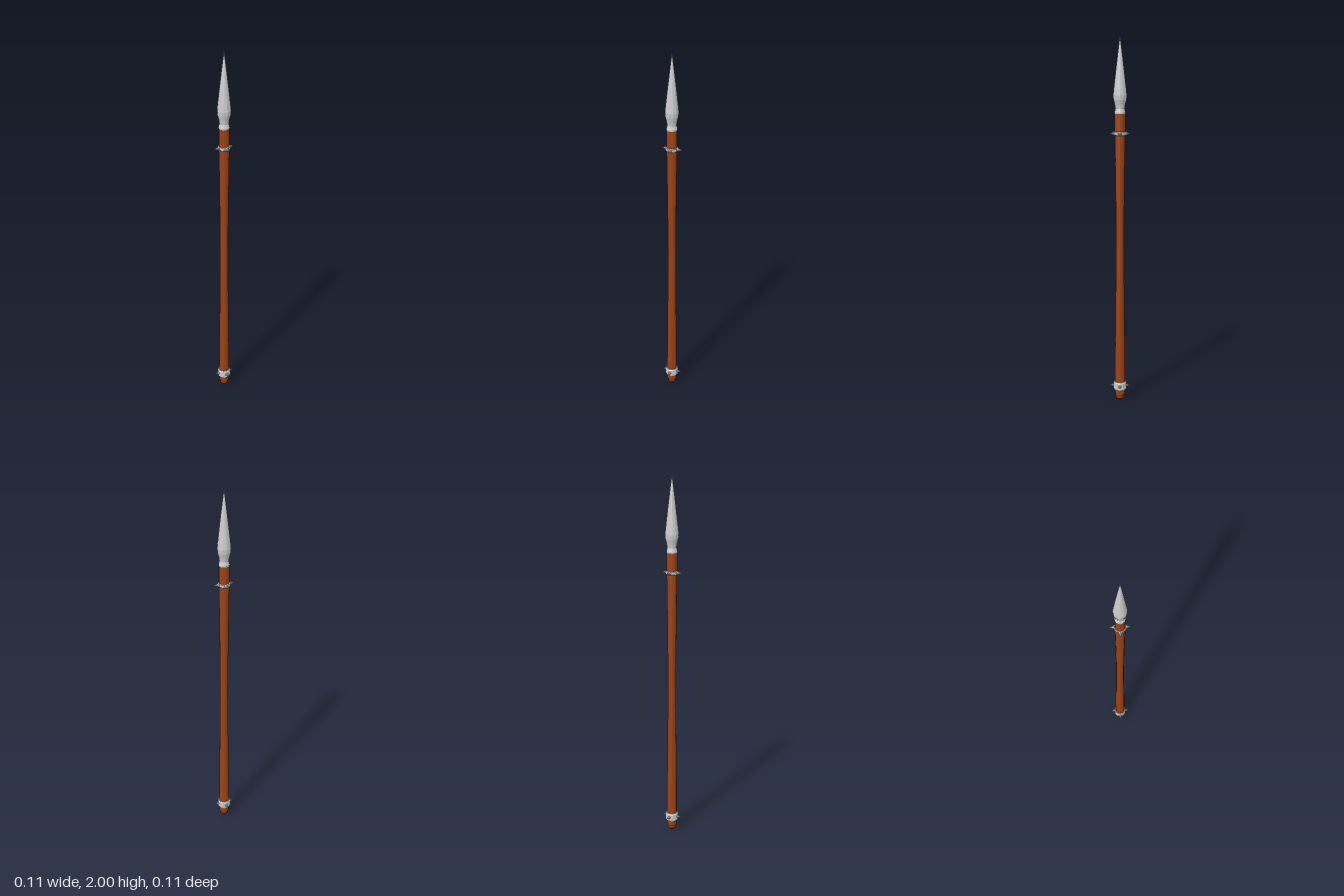
import * as THREE from 'three';

const SIDES = 12;
const metal = new THREE.MeshStandardMaterial({ color: 0xcccccc, flatShading: true });
const wood = new THREE.MeshStandardMaterial({ color: 0x9a4218, flatShading: true });

// Turned part from [radius, height] pairs, bottom to top
function turned(name, profile, material) {
  const points = profile.map(([r, y]) => new THREE.Vector2(r, y));
  const mesh = new THREE.Mesh(new THREE.LatheGeometry(points, SIDES), material);
  mesh.name = name;
  return mesh;
}

// Metal band with four spikes pointing outward
function spikedBand(name, y, radius, height) {
  const group = new THREE.Group();
  group.name = name;
  const h = height / 2;
  const inner = 0.02;
  group.add(turned(name + 'Ring', [
    [inner, -h], [radius - 0.004, -h], [radius, -h * 0.7],
    [radius, h * 0.7], [radius - 0.004, h], [inner, h],
  ], metal));
  const length = 0.056 - 0.03;
  for (let i = 0; i < 4; i++) {
    const pivot = new THREE.Group();
    pivot.rotation.y = i * Math.PI / 2;
    const spike = new THREE.Mesh(new THREE.ConeGeometry(0.011, length, 8), metal);
    spike.name = name + 'Spike';
    spike.rotation.z = -Math.PI / 2;
    spike.position.x = 0.03 + length / 2;
    pivot.add(spike);
    group.add(pivot);
  }
  group.position.y = y;
  return group;
}

export function createModel() {
  const model = new THREE.Group();
  model.name = 'spear';

  // Wooden shaft, slimmer in the middle, with a rounded butt
  model.add(turned('shaft', [
    [0, 0], [0.014, 0.001], [0.021, 0.009], [0.023, 0.022], [0.027, 0.03], [0.028, 0.05],
    [0.028, 0.12], [0.027, 0.3], [0.024, 0.55], [0.022, 0.85], [0.023, 1.1],
    [0.026, 1.35], [0.028, 1.48], [0.028, 1.593], [0, 1.593],
  ], wood));

  // Leaf-shaped metal point with a flared socket
  model.add(turned('spearhead', [
    [0, 1.588], [0.029, 1.588], [0.03, 1.595], [0.025, 1.615], [0.028, 1.635],
    [0.035, 1.662], [0.037, 1.685], [0.034, 1.715], [0.022, 1.82], [0.01, 1.92], [0, 2],
  ], metal));

  model.add(spikedBand('upperBand', 1.483, 0.033, 0.02));
  model.add(spikedBand('lowerBand', 0.08, 0.037, 0.046));
  return model;
}
